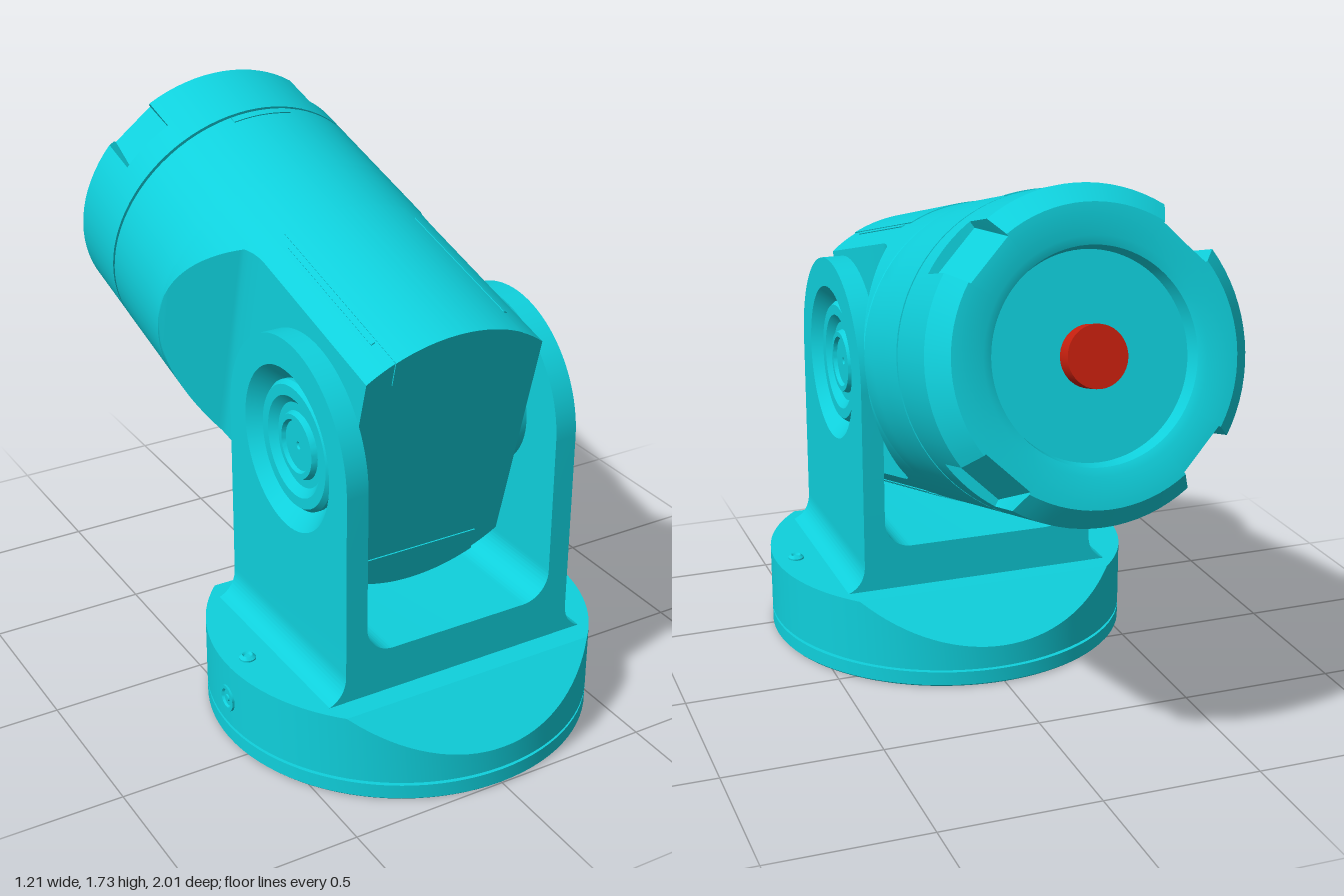
import * as THREE from 'three';
import { toCreasedNormals } from 'three/addons/utils/BufferGeometryUtils.js';

const teal = new THREE.MeshStandardMaterial({ color: 0x0fd0dc });
teal.name = 'teal';
const red = new THREE.MeshStandardMaterial({ color: 0xc8200e });
red.name = 'red';

function add(parent, name, geometry, material = teal) {
  const mesh = new THREE.Mesh(toCreasedNormals(geometry, 0.45), material);
  mesh.name = name;
  parent.add(mesh);
  return mesh;
}

// Skin between equal-length loops, counter-clockwise seen from +z, ordered by rising z
function loft(sections, caps) {
  const pos = [];
  const n = sections[0].length;
  const tri = (...pts) => pts.forEach((p) => pos.push(...p));
  for (let i = 0; i < sections.length - 1; i++) {
    for (let j = 0; j < n; j++) {
      const k = (j + 1) % n;
      const a = sections[i][j], b = sections[i][k], c = sections[i + 1][k], d = sections[i + 1][j];
      tri(a, b, c);
      tri(a, c, d);
    }
  }
  if (caps) {
    const first = sections[0], last = sections[sections.length - 1];
    for (let j = 1; j < n - 1; j++) {
      tri(first[0], first[j + 1], first[j]);
      tri(last[0], last[j], last[j + 1]);
    }
  }
  const g = new THREE.BufferGeometry();
  g.setAttribute('position', new THREE.Float32BufferAttribute(pos, 3));
  return g;
}

function extrude(shape, depth, z = 0) {
  return new THREE.ExtrudeGeometry(shape, { depth, bevelEnabled: false, curveSegments: 32 }).translate(0, 0, z);
}

function lathe(points, segments = 64) {
  return new THREE.LatheGeometry(points.map(([r, y]) => new THREE.Vector2(r, y)), segments);
}

function buildBase() {
  const base = new THREE.Group();
  base.name = 'base';
  base.position.z = 0.4;
  add(base, 'basePlate', lathe([[0, 0], [0.595, 0], [0.6, 0.005], [0.6, 0.05], [0.585, 0.05], [0.585, 0.061]], 96));

  // Round block with sloping front and back
  const angles = [Math.asin(0.7), -Math.asin(0.7)];
  for (let i = 0; i <= 64; i++) angles.push(Math.PI * (i / 64 - 0.5));
  angles.sort((a, b) => a - b);
  add(base, 'baseBlock', loft(angles.map((t) => {
    const z = 0.6 * Math.sin(t), x = 0.6 * Math.cos(t);
    const top = 0.27 - Math.max(0, Math.abs(z) - 0.42) * 0.78;
    return [[-x, 0.06, z], [x, 0.06, z], [x, top, z], [-x, top, z]];
  }), false));

  for (const s of [-1, 1]) {
    add(base, 'baseScrew', lathe([[0.026, 0], [0.026, 0.007], [0.016, 0.015], [0.01, 0.009], [0, 0.009]], 20))
      .position.set(s * 0.53, 0.268, 0);
  }

  // Cable port on one side
  const port = new THREE.Group();
  port.name = 'cablePort';
  port.position.set(-0.598, 0.15, 0);
  port.rotation.z = Math.PI / 2;
  add(port, 'portRing', lathe([[0.042, -0.01], [0.042, 0.008], [0.03, 0.008], [0.024, 0.001], [0.012, 0.001], [0.01, 0.006], [0, 0.006]], 28));
  base.add(port);
  return base;
}

function buildYoke() {
  const yoke = new THREE.Group();
  yoke.name = 'yoke';

  // U-shaped foot with flared outside and filleted inside
  const foot = new THREE.Shape();
  foot.moveTo(-0.46, 0.265);
  foot.lineTo(0.46, 0.265);
  foot.quadraticCurveTo(0.39, 0.285, 0.39, 0.36);
  foot.lineTo(0.39, 0.52);
  foot.lineTo(0.32, 0.52);
  foot.lineTo(0.32, 0.5);
  foot.absarc(0.23, 0.5, 0.09, 0, -Math.PI / 2, true);
  foot.lineTo(-0.23, 0.41);
  foot.absarc(-0.23, 0.5, 0.09, -Math.PI / 2, -Math.PI, true);
  foot.lineTo(-0.32, 0.52);
  foot.lineTo(-0.39, 0.52);
  foot.lineTo(-0.39, 0.36);
  foot.quadraticCurveTo(-0.39, 0.285, -0.46, 0.265);
  add(yoke, 'yokeFoot', extrude(foot, 0.7, 0.05));

  // Rounded arm plate with the pivot opening
  const arm = new THREE.Shape();
  arm.moveTo(-0.35, 0.52);
  arm.lineTo(0.35, 0.52);
  arm.lineTo(0.35, 0.94);
  arm.absarc(0, 0.94, 0.35, 0, Math.PI, false);
  arm.lineTo(-0.35, 0.52);
  const opening = new THREE.Path();
  opening.absarc(0, 0.945, 0.256, 0, Math.PI * 2, true);
  arm.holes.push(opening);

  // Dished pivot cap, from the inner boss out to the stepped rings
  const pivot = [[0, 0.285], [0.2, 0.285], [0.2, 0.32], [0.258, 0.32], [0.258, 0.39], [0.252, 0.39],
    [0.2, 0.335], [0.2, 0.35], [0.188, 0.365], [0.155, 0.365], [0.13, 0.343], [0.105, 0.343],
    [0.098, 0.36], [0.082, 0.36], [0.076, 0.348], [0.012, 0.348], [0.008, 0.343], [0, 0.343]];
  for (const s of [-1, 1]) {
    const plate = add(yoke, 'yokeArm', extrude(arm, 0.07, -0.035));
    plate.rotation.y = Math.PI / 2;
    plate.position.set(s * 0.355, 0, 0.4);
    const cap = add(yoke, 'pivotCap', lathe(pivot));
    cap.rotation.z = -s * Math.PI / 2;
    cap.position.set(0, 0.945, 0.4);
  }
  return yoke;
}

function buildHead() {
  const R = 0.47;
  const head = new THREE.Group();
  head.name = 'head';
  head.position.set(0, 0.945, 0.4);
  head.rotation.x = THREE.MathUtils.degToRad(15);

  // Barrel: a round section with its sides cut flat towards the pivot
  const halfWidth = (d) => {
    if (d >= 0.7) return R;
    if (d >= 0.5) return 0.31 + (d - 0.5) * 0.8;
    return 0.295 + 0.015 * Math.max(0, (d - 0.4) / 0.1) ** 2;
  };
  const stations = [1.03, 0.9, 0.8];
  for (let i = 0; i <= 20; i++) stations.push(0.7 - i * 0.01);
  stations.push(0.48, 0.46, 0.44, 0.42, 0.4, 0.2, 0, -0.203);
  add(head, 'barrel', loft(stations.map((d) => {
    const a = Math.acos(halfWidth(d) / R);
    const loop = [];
    for (const start of [0, Math.PI]) {
      for (let i = 0; i <= 40; i++) {
        const t = start + a + (Math.PI - 2 * a) * i / 40;
        loop.push([R * Math.cos(t), R * Math.sin(t), -d]);
      }
    }
    return loop;
  }), true));

  const seam = add(head, 'seam', new THREE.CylinderGeometry(0.455, 0.455, 0.03, 72));
  seam.rotation.x = Math.PI / 2;
  seam.position.z = -1.035;

  // End cap: chamfered rim with four flat notches and a dished face
  const half = 0.2, rays = [];
  for (let q = 0; q < 4; q++) {
    const mid = Math.PI / 4 + q * Math.PI / 2;
    for (let i = 0; i <= 8; i++) rays.push({ t: mid - half + half * i / 4, off: half * (i / 4 - 1), notch: true });
    for (let i = 0; i <= 16; i++) {
      rays.push({ t: mid + half + 0.001 + (Math.PI / 2 - 2 * half - 0.002) * i / 16, notch: false });
    }
  }
  const ring = (d, radius, cut) => rays.map(({ t, off, notch }) => {
    const floor = 0.44 - (d - 1.145) * 0.2;
    const r = cut && notch ? Math.min(radius, floor / Math.cos(off)) : radius;
    return [r * Math.cos(t), r * Math.sin(t), -d];
  });
  add(head, 'endCap', loft([
    ring(1.29, 0), ring(1.29, 0.29), ring(1.335, 0.3), ring(1.345, 0.325), ring(1.345, 0.415, true),
    ring(1.285, R, true), ring(1.146, R, true), ring(1.145, R), ring(1.042, R), ring(1.04, 0.45),
  ], false));

  const button = add(head, 'button', new THREE.CylinderGeometry(0.088, 0.088, 0.06, 40), red);
  button.rotation.x = Math.PI / 2;
  button.position.z = -1.317;

  // Thin cover panels, the same above and below
  const band = (from, to, r) => {
    const s = new THREE.Shape();
    s.absarc(0, 0, r, from, to, false);
    s.absarc(0, 0, R - 0.005, to, from, true);
    return s;
  };
  const up = Math.PI / 2, spread = 0.463;
  const face = new THREE.Shape();
  face.absarc(0, 0, 0.473, up - spread, up + spread, false);
  face.lineTo(-0.21, 0.344);
  face.lineTo(0.21, 0.344);
  for (const turn of [0, Math.PI]) {
    const cover = new THREE.Group();
    cover.name = 'cover';
    cover.rotation.z = turn;
    add(cover, 'coverPanel', extrude(band(up - spread, up + spread, 0.473), 0.653, -0.45));
    add(cover, 'coverLip', extrude(face, 0.005, 0.202));
    add(cover, 'coverLatch', extrude(band(up - 0.215, up + 0.215, 0.473), 0.025, -1.025));
    for (const s of [-1, 1]) {
      const c = up + s * 0.49;
      add(cover, 'coverEdge', extrude(band(c - 0.014, c + 0.014, 0.473), 0.5, -0.4));
    }
    head.add(cover);
  }
  return head;
}

export function createModel() {
  const model = new THREE.Group();
  model.name = 'swivelHeadOnStand';
  model.add(buildBase(), buildYoke(), buildHead());
  return model;
}
